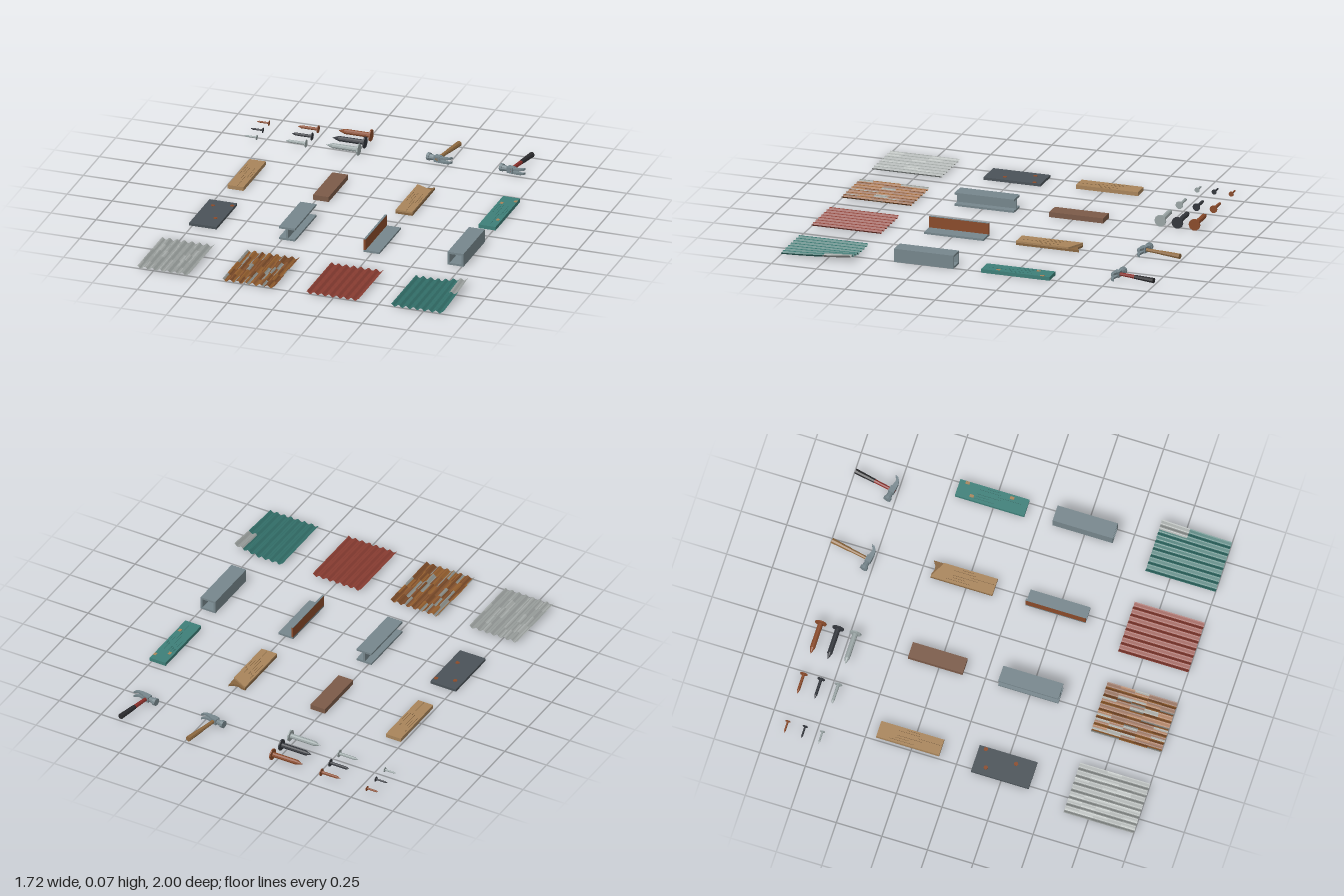
import * as THREE from 'three';

const TAN = 0xa8845a, STEEL = 0x76868c, RUST = 0x8a4a2a, DARK = 0x33363c, LIGHT = 0x9aa5a5;
const mat = (color, extra = {}) => new THREE.MeshStandardMaterial({ color, flatShading: true, ...extra });

function add(parent, name, geometry, color, x = 0, y = 0, z = 0) {
  const mesh = new THREE.Mesh(geometry, mat(color));
  mesh.name = name;
  mesh.position.set(x, y, z);
  parent.add(mesh);
  return mesh;
}

function group(parent, name, x = 0, y = 0, z = 0) {
  const g = new THREE.Group();
  g.name = name;
  g.position.set(x, y, z);
  parent.add(g);
  return g;
}

// Box given by its minimum and maximum corners
function block(parent, name, color, [x0, y0, z0], [x1, y1, z1]) {
  return add(parent, name, new THREE.BoxGeometry(x1 - x0, y1 - y0, z1 - z0), color,
    (x0 + x1) / 2, (y0 + y1) / 2, (z0 + z1) / 2);
}

// Outline in (x, z) extruded upwards by height
function slab(points, height) {
  const shape = new THREE.Shape(points.map(([x, z]) => new THREE.Vector2(x, -z)));
  return new THREE.ExtrudeGeometry(shape, { depth: height, bevelEnabled: false }).rotateX(-Math.PI / 2);
}

// Nail pointing to -x, with the head's outer face at x = 0
function nail(parent, name, color, length, r, headR, x, z) {
  const p = [[0, 0], [r, r * 2.6], [r, length - r * 0.6], [headR, length - r * 0.5], [headR, length], [0, length]];
  const geo = new THREE.LatheGeometry(p.map(([a, b]) => new THREE.Vector2(a, b)), 10);
  geo.translate(0, -length, 0).rotateZ(-Math.PI / 2);
  add(parent, name, geo, color, x, headR + 0.003, z);
}

// Claw hammer lying flat, handle towards -z
function hammer(parent, name, x, handleColor, gripColor) {
  const g = group(parent, name, x, 0.023, -0.78);
  g.rotation.y = -0.19;
  const rodZ = (r0, r1, z0, z1) => new THREE.CylinderGeometry(r1, r0, z0 - z1, 8)
    .rotateX(-Math.PI / 2).translate(0, 0, (z0 + z1) / 2);
  const rodX = (r0, r1, x0, x1) => new THREE.CylinderGeometry(r1, r0, x1 - x0, 10)
    .rotateZ(-Math.PI / 2).translate((x0 + x1) / 2, 0, 0);
  add(g, 'handle', rodZ(0.009, 0.011, 0.016, -0.11), handleColor);
  add(g, 'grip', rodZ(0.012, 0.015, -0.105, -0.219), gripColor);
  add(g, 'strikingFace', rodX(0.021, 0.021, -0.062, -0.046), STEEL);
  add(g, 'neck', rodX(0.017, 0.013, -0.046, -0.016), STEEL);
  add(g, 'cheek', new THREE.BoxGeometry(0.036, 0.032, 0.032), STEEL);
  const claw = [[0.01, -0.013], [0.03, -0.009], [0.05, -0.006], [0.066, -0.012], [0.077, -0.022],
    [0.074, -0.006], [0.06, 0.007], [0.044, 0.013], [0.028, 0.015], [0.01, 0.015]];
  for (const s of [-1, 1]) {
    const prong = add(g, 'clawProng', slab(claw, 0.011).translate(0, -0.0055, 0), STEEL, 0, s * 0.008, 0);
    prong.rotation.z = s * 0.06;
  }
}

// Corrugated sheet; pick(u, v) returns the colour of a cell, lift(u, v) bends it upwards
function sheet(parent, name, x0, pick, lift = () => 0) {
  const W = 0.29, L = 0.385, z0 = 0.615, waves = 7, nx = waves * 8, nz = 10;
  const g = group(parent, name);
  const byColor = new Map();
  const point = (i, j) => {
    const u = i / nx, v = j / nz;
    return [x0 + u * W, 0.008 + 0.007 * Math.cos(u * waves * Math.PI * 2) + lift(u, v), z0 + v * L];
  };
  for (let i = 0; i < nx; i++) for (let j = 0; j < nz; j++) {
    const color = pick((i + 0.5) / nx, (j + 0.5) / nz);
    if (!byColor.has(color)) byColor.set(color, []);
    const [a, b, c, d] = [point(i, j), point(i, j + 1), point(i + 1, j + 1), point(i + 1, j)];
    byColor.get(color).push(...a, ...b, ...c, ...a, ...c, ...d);
  }
  for (const [color, positions] of byColor) {
    const geo = new THREE.BufferGeometry();
    geo.setAttribute('position', new THREE.Float32BufferAttribute(positions, 3));
    geo.computeVertexNormals();
    const mesh = add(g, 'sheetPanel', geo, color);
    mesh.material.side = THREE.DoubleSide;
  }
}

// Seeded value in 0..1 for a cell
const hash = (a, b) => {
  const s = Math.sin(a * 127.1 + b * 311.7 + 5) * 43758.5453;
  return s - Math.floor(s);
};
const patch = (palette, cols, rows) => (u, v) =>
  palette[Math.floor(hash(Math.floor(u * cols), Math.floor(v * rows)) * palette.length)];

// Thin grain streaks on top of a plank
function grain(parent, color, x, width, z, length, top) {
  for (let i = 0; i < 6; i++) {
    const streak = 0.06 + 0.08 * hash(i, 1);
    add(parent, 'grain', new THREE.BoxGeometry(0.0015, 0.001, streak), color,
      x + width * (i / 6 - 0.4), top, z + length * (hash(i, 2) - 0.5) * 0.5);
  }
}

export function createModel() {
  const model = new THREE.Group();
  model.name = 'buildingMaterials';

  // Nails: three finishes in three sizes
  const nails = group(model, 'nails');
  [[RUST, -0.91], [DARK, -0.815], [LIGHT, -0.72]].forEach(([color, z]) => {
    nail(nails, 'smallNail', color, 0.07, 0.005, 0.014, -0.794, z);
    nail(nails, 'mediumNail', color, 0.116, 0.008, 0.021, -0.52, z);
    nail(nails, 'largeNail', color, 0.185, 0.014, 0.032, -0.225, z);
  });

  // Hammers
  hammer(model, 'woodenHammer', 0.19, 0x8f6a40, 0x8f6a40);
  hammer(model, 'grippedHammer', 0.595, 0x8a2f2a, 0x2b2b2e);

  // Planks
  const planks = group(model, 'planks');
  block(planks, 'plank', TAN, [-0.736, 0, -0.445], [-0.646, 0.021, -0.1]);
  grain(planks, 0x6e5335, -0.691, 0.08, -0.24, 0.3, 0.021);
  block(planks, 'darkPlank', 0x7b5a48, [-0.267, 0, -0.42], [-0.18, 0.028, -0.12]);

  // Plank with a splintered end
  add(planks, 'brokenPlankLower', slab([[0.198, -0.105], [0.291, -0.105], [0.291, -0.455],
    [0.268, -0.44], [0.245, -0.435], [0.22, -0.445], [0.198, -0.445]], 0.012), 0x87653f);
  add(planks, 'brokenPlankUpper', slab([[0.198, -0.105], [0.291, -0.105], [0.291, -0.398],
    [0.198, -0.445]], 0.01), TAN, 0, 0.012, 0);
  grain(planks, 0x6e5335, 0.245, 0.08, -0.24, 0.25, 0.022);

  // Painted plank with chipped spots
  block(planks, 'paintedPlank', 0x3d7f78, [0.667, 0, -0.46], [0.762, 0.02, -0.08]);
  grain(planks, 0x2f625e, 0.715, 0.08, -0.25, 0.3, 0.02);
  for (const [x, z] of [[0.69, -0.375], [0.753, -0.417], [0.743, -0.17]])
    add(planks, 'paintChip', new THREE.BoxGeometry(0.016, 0.002, 0.022), TAN, x, 0.0202, z);

  // Steel plate with rust spots
  const plate = group(model, 'steelPlate');
  block(plate, 'plate', 0x4a5258, [-0.768, 0, 0.085], [-0.615, 0.014, 0.402]);
  for (const [x, z] of [[-0.725, 0.153], [-0.628, 0.123], [-0.658, 0.298]])
    add(plate, 'rustSpot', new THREE.CylinderGeometry(0.012, 0.012, 0.002, 7), RUST, x, 0.0142, z);

  // I-beam
  const beam = group(model, 'iBeam');
  for (const y of [0, 0.062])
    block(beam, 'flange', STEEL, [-0.267, y, 0.075], [-0.178, y + 0.011, 0.405]);
  block(beam, 'web', STEEL, [-0.228, 0.011, 0.075], [-0.217, 0.062, 0.405]);

  // Angle iron with a rusted upright leg
  const angle = group(model, 'angleIron');
  block(angle, 'flatLeg', STEEL, [0.203, 0, 0.075], [0.291, 0.011, 0.405]);
  block(angle, 'uprightLeg', RUST, [0.203, 0.011, 0.075], [0.214, 0.071, 0.405]);
  block(angle, 'uprightEdge', STEEL, [0.203, 0.071, 0.075], [0.214, 0.073, 0.405]);

  // Square tube
  const tube = group(model, 'squareTube');
  for (const y of [0, 0.062])
    block(tube, 'tubeWall', STEEL, [0.67, y, 0.075], [0.758, y + 0.011, 0.405]);
  for (const x of [0.67, 0.747])
    block(tube, 'tubeWall', STEEL, [x, 0.011, 0.075], [x + 0.011, 0.062, 0.405]);

  // Corrugated sheets; the last one has a bare, bent-up corner
  sheet(model, 'galvanisedSheet', -0.84, patch([0x9a9f9d, 0x9a9f9d, 0x9a9f9d, 0xa9aeac], 28, 5));
  sheet(model, 'rustySheet', -0.367, patch([0x96602f, 0x7a4a28, 0x8a5630, 0x96602f, 0x7a4a28, 0x8c8f8a], 28, 5));
  sheet(model, 'redSheet', 0.1, () => 0x8a3d32);
  sheet(model, 'tealSheet', 0.57,
    (u, v) => (u > 0.83 && v < 0.4 ? 0x9a9f9d : 0x33706a),
    (u, v) => 0.028 * Math.max(0, (u - 0.5) / 0.5) * (1 - v) ** 1.5);

  return model;
}
